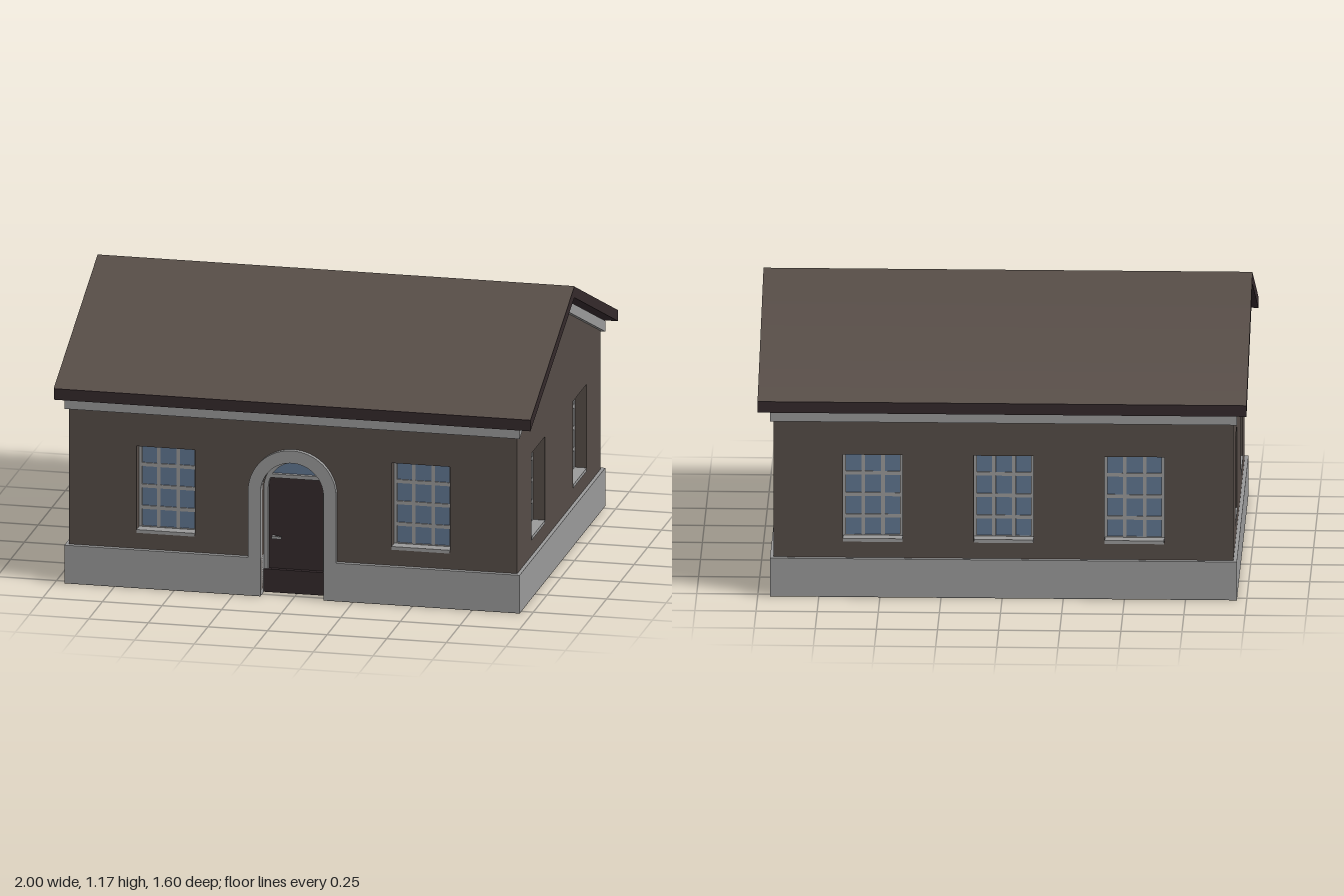
import * as THREE from 'three';
import { toCreasedNormals } from 'three/addons/utils/BufferGeometryUtils.js';

const mat = (name, color) => new THREE.MeshStandardMaterial({ name, color });

export function createModel() {
  const stone = mat('grey stone', 0x999999);
  const plaster = mat('brown plaster', 0x554c47);
  const tiles = mat('roof brown', 0x574d47);
  const dark = mat('dark wood', 0x34292b);
  const glass = mat('blue glass', 0x60758f);
  const earth = mat('dark underside', 0x403d39);

  const house = new THREE.Group();
  house.name = 'house';
  const CX = -0.005;          // the body sits slightly off the roof centre
  const HX = 0.94, HZ = 0.76; // wall half sizes
  const THICK = 0.08, RECESS = 0.055;
  const WIN = { w: 0.245, h: 0.365, y: 0.4175 };

  const add = (parent, name, geo, material, x = 0, y = 0, z = 0) => {
    const m = new THREE.Mesh(geo, material);
    m.name = name;
    m.position.set(x, y, z);
    parent.add(m);
    return m;
  };
  const box = (parent, name, material, w, h, d, x, y, z) =>
    add(parent, name, new THREE.BoxGeometry(w, h, d), material, x, y, z);
  const poly = (pts) => new THREE.Shape(pts.map(([x, y]) => new THREE.Vector2(x, y)));
  const extrude = (shape, depth) => toCreasedNormals(
    new THREE.ExtrudeGeometry(shape, { depth, bevelEnabled: false, curveSegments: 20 }), 0.5);

  // Arched band: outer radius, inner radius, bottom height
  const ARCH_Y = 0.445;
  const archBand = (ro, ri, y0) => {
    const s = new THREE.Shape();
    s.moveTo(ro, y0);
    s.lineTo(ro, ARCH_Y);
    s.absarc(0, ARCH_Y, ro, 0, Math.PI, false);
    s.lineTo(-ro, y0);
    s.lineTo(-ri, y0);
    s.lineTo(-ri, ARCH_Y);
    s.absarc(0, ARCH_Y, ri, Math.PI, 0, true);
    s.lineTo(ri, y0);
    return s;
  };

  // Recessed window with a 3 by 4 grid of panes, wall surface at z = 0
  const addWindow = (parent, x) => {
    const g = new THREE.Group();
    g.name = 'window';
    g.position.set(x, WIN.y, 0);
    parent.add(g);
    const { w, h } = WIN, f = 0.012, b = 0.015, z = -RECESS + 0.002;
    box(g, 'windowGlass', glass, w, h, 0.008, 0, 0, -RECESS - 0.004);
    for (const s of [-1, 1]) {
      box(g, 'windowFrameSide', stone, f, h, 0.008, s * (w - f) / 2, 0, z);
      box(g, 'windowFrameRail', stone, w, f, 0.008, 0, s * (h - f) / 2, z);
      box(g, 'windowUpright', stone, b, h, 0.007, s * w / 6, 0, z);
    }
    for (const k of [-1, 0, 1]) box(g, 'windowCrossbar', stone, w, b, 0.007, 0, k * h / 4, z);
    box(g, 'windowSill', stone, w - 0.002, 0.014, RECESS + 0.001, 0, -h / 2 + 0.002, -RECESS / 2 + 0.001);
  };

  // One wall with window openings, turned to face outwards
  const addWall = (name, shape, windows, angle, dist) => {
    const g = new THREE.Group();
    g.name = name;
    g.rotation.y = angle;
    g.position.set(CX + Math.sin(angle) * dist, 0, Math.cos(angle) * dist);
    house.add(g);
    for (const x of windows) {
      const a = WIN.w / 2, b = WIN.h / 2;
      shape.holes.push(new THREE.Path([[x - a, WIN.y - b], [x - a, WIN.y + b], [x + a, WIN.y + b], [x + a, WIN.y - b]]
        .map(([u, v]) => new THREE.Vector2(u, v))));
      addWindow(g, x);
    }
    add(g, name + 'Surface', extrude(shape, THICK), plaster, 0, 0, -THICK);
  };

  // Front wall with the arched doorway cut from its lower edge
  const LONG = HX - THICK, Y0 = 0.02, TOP = 0.77, DOOR = 0.133;
  const front = new THREE.Shape();
  front.moveTo(-LONG, Y0);
  front.lineTo(-DOOR, Y0);
  front.lineTo(-DOOR, ARCH_Y);
  front.absarc(0, ARCH_Y, DOOR, Math.PI, 0, true);
  front.lineTo(DOOR, Y0);
  front.lineTo(LONG, Y0);
  front.lineTo(LONG, TOP);
  front.lineTo(-LONG, TOP);
  addWall('frontWall', front, [-0.535, 0.535], 0, HZ);
  addWall('backWall', poly([[-LONG, Y0], [LONG, Y0], [LONG, TOP], [-LONG, TOP]]), [-0.535, 0, 0.535], Math.PI, HZ);
  for (const s of [-1, 1]) {
    const gable = poly([[-HZ, Y0], [HZ, Y0], [HZ, TOP], [0, 1.09], [-HZ, TOP]]);
    addWall(s > 0 ? 'leftGableWall' : 'rightGableWall', gable, [-0.38, 0.38], s * Math.PI / 2, HX);
  }

  // Stone base with a dark underside, notched at the door (footprint drawn with y = -z)
  const BX = 0.955, BZ = 0.781, NZ = 0.69;
  const addFooting = (name, material, height, y) => {
    const geo = extrude(poly([[-BX, -BZ], [-DOOR, -BZ], [-DOOR, -NZ], [DOOR, -NZ], [DOOR, -BZ],
      [BX, -BZ], [BX, BZ], [-BX, BZ]]), height);
    geo.rotateX(-Math.PI / 2);
    add(house, name, geo, material, CX, y);
  };
  addFooting('base', stone, 0.161, 0.002);
  addFooting('underside', earth, 0.002, 0);

  // Entrance
  const door = new THREE.Group();
  door.name = 'entrance';
  door.position.x = CX;
  house.add(door);
  add(door, 'archSurround', extrude(archBand(0.185, 0.132, 0.16), 0.031), stone, 0, 0, 0.75);
  add(door, 'doorFrame', extrude(archBand(0.134, 0.115, 0.1), 0.025), stone, 0, 0, 0.69);
  box(door, 'threshold', dark, 2 * DOOR, 0.098, 0.04, 0, 0.051, 0.7);
  box(door, 'doorLeaf', dark, 0.234, 0.4, 0.02, 0, 0.295, 0.69);
  box(door, 'transom', stone, 0.234, 0.016, 0.025, 0, 0.498, 0.7025);
  const fan = new THREE.Shape();
  const a0 = Math.asin((0.495 - ARCH_Y) / 0.12);
  fan.absarc(0, ARCH_Y, 0.12, a0, Math.PI - a0, false);
  add(door, 'fanlight', extrude(fan, 0.008), glass, 0, 0, 0.69);
  box(door, 'doorHandle', stone, 0.04, 0.011, 0.008, -0.079, 0.235, 0.716);
  box(door, 'handleStem', stone, 0.011, 0.011, 0.016, -0.094, 0.235, 0.707);

  // Gabled bands running the length of the house
  const ridgeBand = (half, ridge, eave, t, length) => {
    const g = extrude(poly([[-half, eave - t], [0, ridge - t], [half, eave - t],
      [half, eave], [0, ridge], [-half, eave]]), length);
    g.translate(0, 0, -length / 2);
    g.rotateY(Math.PI / 2);
    return g;
  };
  add(house, 'eavesTrim', ridgeBand(BZ, 1.118, 0.791, 0.046, 2 * BX), stone, CX);
  add(house, 'roofEdge', ridgeBand(0.8, 1.17, 0.834, 0.047, 2), dark);

  // Roof covering, shaded softly over the ridge
  const cover = new THREE.BufferGeometry();
  cover.setAttribute('position', new THREE.Float32BufferAttribute([
    -1, 0.836, 0.8, 1, 0.836, 0.8, -1, 1.172, 0, 1, 1.172, 0, -1, 0.836, -0.8, 1, 0.836, -0.8], 3));
  cover.setIndex([0, 1, 3, 0, 3, 2, 2, 3, 5, 2, 5, 4]);
  cover.computeVertexNormals();
  // even out the ridge normals so both ends point straight up
  for (const i of [2, 3]) cover.attributes.normal.setXYZ(i, 0, 1, 0);
  add(house, 'roofCovering', cover, tiles);

  return house;
}
